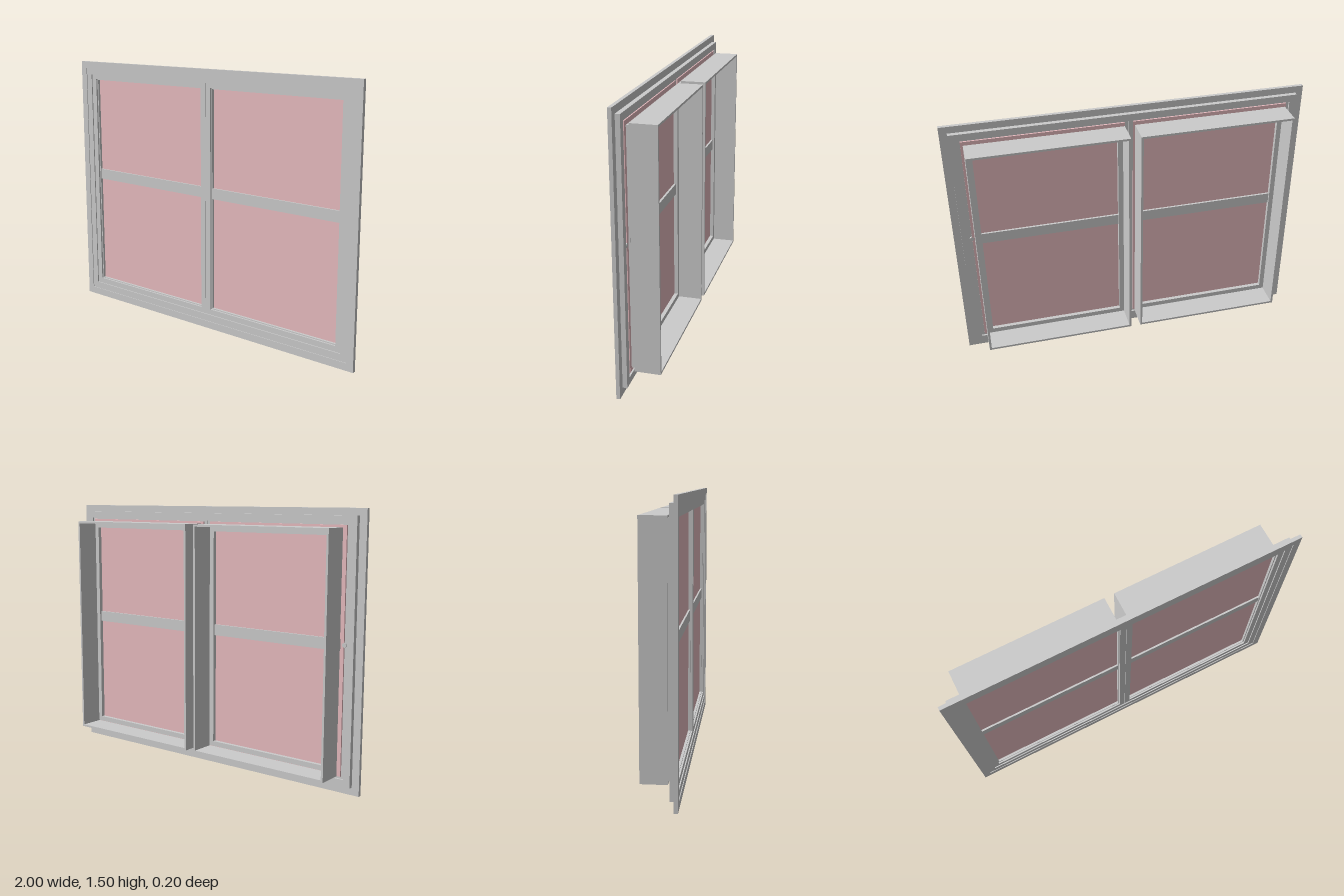
import * as THREE from 'three';

const grey = new THREE.MeshStandardMaterial({ color: 0xcccccc });
const pink = new THREE.MeshStandardMaterial({ color: 0xe8bcc0 });

// rectangular path, optionally as a hole
function rect(PathType, [x0, x1, y0, y1]) {
  const p = new PathType();
  p.moveTo(x0, y0);
  p.lineTo(x1, y0);
  p.lineTo(x1, y1);
  p.lineTo(x0, y1);
  p.closePath();
  return p;
}

const inset = ([x0, x1, y0, y1], d) => [x0 + d, x1 - d, y0 + d, y1 - d];

// rectangular ring of bar width w, from z0 to z1
function ring(name, bounds, w, z0, z1) {
  const shape = rect(THREE.Shape, bounds);
  shape.holes.push(rect(THREE.Path, inset(bounds, w)));
  const geo = new THREE.ExtrudeGeometry(shape, { depth: z1 - z0, bevelEnabled: false });
  geo.translate(0, 0, z0);
  const mesh = new THREE.Mesh(geo, grey);
  mesh.name = name;
  return mesh;
}

function box(name, [x0, x1, y0, y1], z0, z1, material = grey) {
  const mesh = new THREE.Mesh(new THREE.BoxGeometry(x1 - x0, y1 - y0, z1 - z0), material);
  mesh.position.set((x0 + x1) / 2, (y0 + y1) / 2, (z0 + z1) / 2);
  mesh.name = name;
  return mesh;
}

export function createModel() {
  const model = new THREE.Group();
  model.name = 'doubleWindow';

  // stepped outer frame
  const frame = new THREE.Group();
  frame.name = 'outerFrame';
  frame.add(
    ring('frontFlange', [-1, 1, 0, 1.5], 0.042, 0.08, 0.1),
    ring('flangeStep', [-0.958, 0.958, 0.042, 1.462], 0.04, 0.055, 0.096)
  );
  model.add(frame);

  // two mirrored casements
  for (const side of [1, -1]) {
    const span = (a, b, y0, y1) => (side > 0 ? [a, b, y0, y1] : [-b, -a, y0, y1]);
    const casement = new THREE.Group();
    casement.name = side > 0 ? 'leftCasement' : 'rightCasement';

    casement.add(
      ring('sash', span(0.001, 0.918, 0.08, 1.43), 0.034, 0.066, 0.09),
      ring('glazingBead', span(0.033, 0.886, 0.112, 1.398), 0.008, 0.06, 0.08),
      box('glassPane', span(0.022, 0.9, 0.095, 1.415), 0.057, 0.066, pink),
      ring('rearSpacer', span(0.04, 0.876, 0.115, 1.39), 0.028, 0.035, 0.057),
      ring('deepReveal', span(0.028, 0.887, 0.1, 1.403), 0.012, -0.1, 0.04),
      box('crossBar', span(0.041, 0.88, 0.77, 0.832), 0.045, 0.076)
    );

    // small latch behind the outer stile
    const latch = new THREE.Mesh(new THREE.CylinderGeometry(0.012, 0.012, 0.01, 16), grey);
    latch.rotation.x = Math.PI / 2;
    latch.position.set(side * 0.902, 0.8, 0.061);
    latch.name = 'latch';
    casement.add(latch);
    model.add(casement);
  }
  return model;
}
